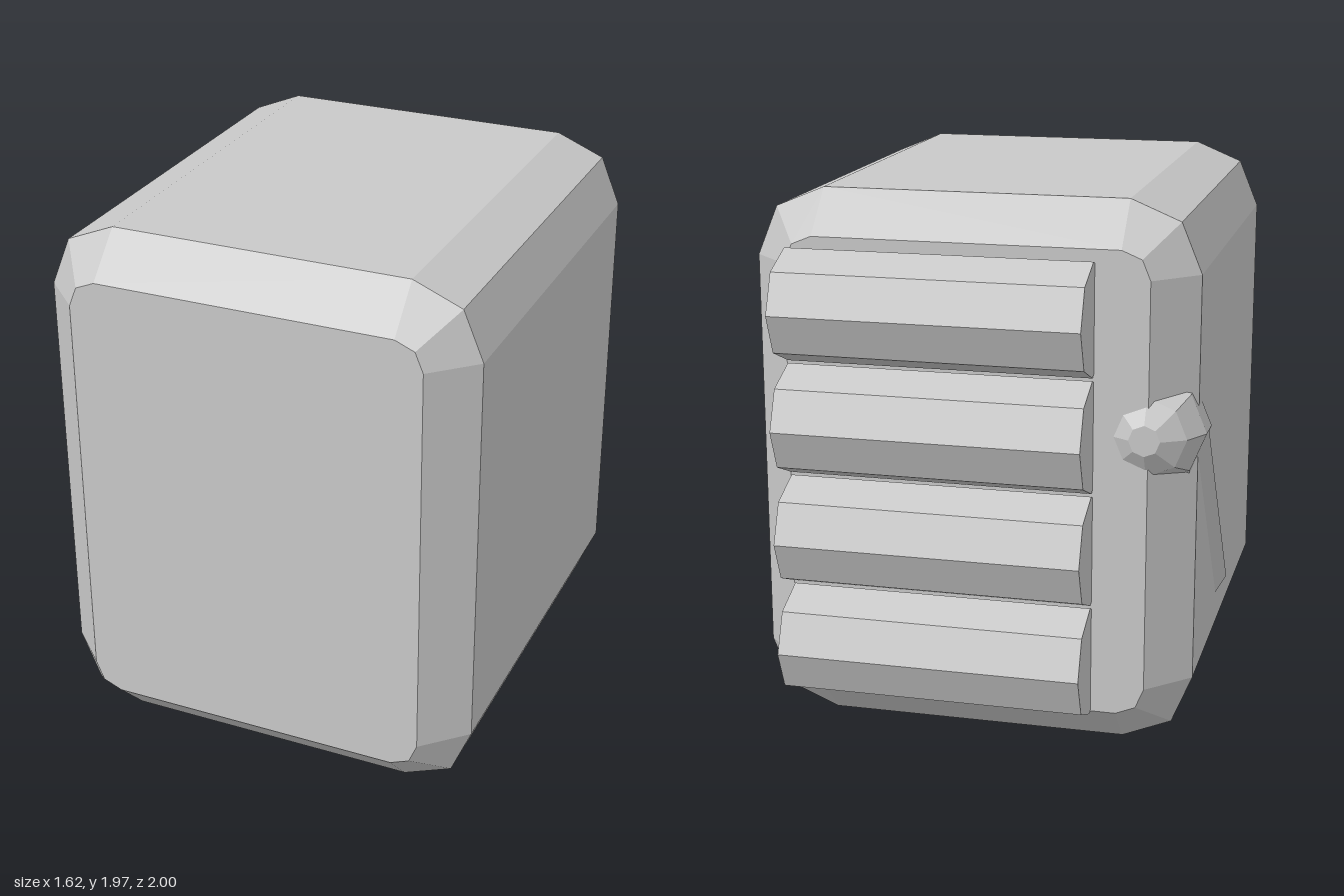
import * as THREE from 'three';
import { ConvexGeometry } from 'three/addons/geometries/ConvexGeometry.js';

const grey = new THREE.MeshStandardMaterial({ color: 0xc8c8c8 });
grey.name = 'grey';

function addPart(parent, name, geometry) {
  // split the vertices so every facet is flat
  const flat = geometry.index ? geometry.toNonIndexed() : geometry;
  flat.computeVertexNormals();
  const mesh = new THREE.Mesh(flat, grey);
  mesh.name = name;
  parent.add(mesh);
  return mesh;
}

// Rounded outline at depth z; the straight runs keep their length when inset
function outline(inset, z) {
  const w = 0.795 - inset, h = 0.9825 - inset;
  const r = 0.25 - inset, c = r * 0.293;
  const corner = [[w, h - r], [w - c, h - c], [w - r, h]];
  const points = [];
  for (const sx of [1, -1]) for (const sy of [1, -1]) {
    for (const [x, y] of corner) {
      points.push(new THREE.Vector3(0.015 + sx * x, 0.9825 + sy * y, z));
    }
  }
  return points;
}

export function createModel() {
  const model = new THREE.Group();
  model.name = 'device';

  // Chamfered body
  addPart(model, 'body', new ConvexGeometry([
    ...outline(0.15, 1), ...outline(0, 0.855),
    ...outline(0, -0.63), ...outline(0.15, -0.78),
  ]));

  // Four octagonal bars across the back
  const bars = new THREE.Group();
  bars.name = 'backBars';
  model.add(bars);
  for (let i = 0; i < 4; i++) {
    const geometry = new THREE.CylinderGeometry(0.2, 0.2, 1.09, 8);
    geometry.rotateZ(Math.PI / 2);
    addPart(bars, 'backBar', geometry).position.set(0.105, 0.346 + i * 0.41, -0.8);
  }

  // Lever: faceted pivot knob with an arm sloping down and forward
  const lever = new THREE.Group();
  lever.name = 'lever';
  model.add(lever);
  const profile = [[0, -0.2], [0.055, -0.2], [0.14, -0.15], [0.193, -0.055],
    [0.193, 0.055], [0.14, 0.15], [0.055, 0.2], [0, 0.2]]
    .map(([r, y]) => new THREE.Vector2(r, y));
  const knob = new THREE.LatheGeometry(profile, 8);
  knob.rotateX(Math.PI / 2);
  addPart(lever, 'leverKnob', knob).position.set(-0.622, 1.17, -0.613);

  const start = new THREE.Vector3(-0.622, 1.17, -0.6);
  const end = new THREE.Vector3(-0.622, 0.42, -0.02);
  const along = end.clone().sub(start);
  const arm = addPart(lever, 'leverArm', new THREE.CylinderGeometry(0.19, 0.19, along.length(), 8));
  arm.position.copy(start).add(end).multiplyScalar(0.5);
  arm.quaternion.setFromUnitVectors(new THREE.Vector3(0, 1, 0), along.normalize());

  return model;
}
